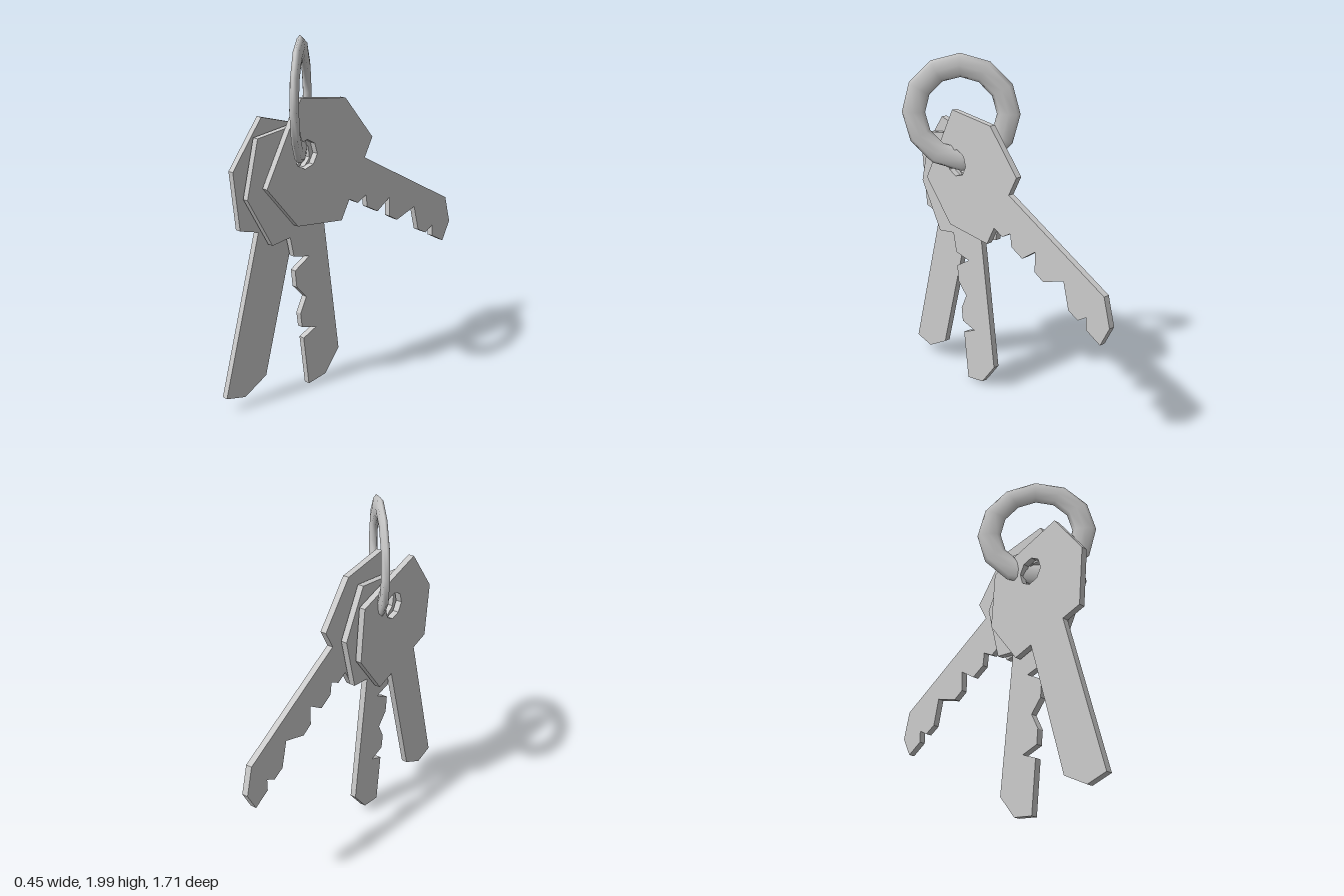
import * as THREE from 'three';

const material = new THREE.MeshStandardMaterial({ color: 0xcccccc });
const THICKNESS = 0.036;

// Key outline in its own frame: origin at the hole, +x along the blade.
const HEAD_START = [[0.43, -0.125], [0.43, -0.25], [0.128, -0.37], [-0.172, -0.253]];
const BLADE_END = [[1.235, 0.128], [1.352, 0.006], [1.354, -0.124]];

// Notches along the cutting edge, from tip to head
const CUT_A = [
  [1.239, -0.124], [1.206, -0.062], [1.17, -0.122], [1.092, -0.124], [0.983, -0.007], [0.875, -0.122],
  [0.799, -0.12], [0.744, -0.017], [0.687, -0.122], [0.591, -0.123], [0.546, -0.062], [0.506, -0.124],
];
const CUT_B = [
  [1.056, -0.12], [1.028, -0.021], [0.985, -0.121], [0.9, -0.12], [0.816, -0.064],
  [0.733, -0.123], [0.633, -0.12], [0.587, -0.009], [0.548, -0.115],
];

function makeKey(name, cuts, x, y, z, angle) {
  const mirroredHead = HEAD_START.map(([u, v]) => [u, -v]).reverse();
  const outline = [...HEAD_START, ...mirroredHead, ...BLADE_END, ...cuts];
  const shape = new THREE.Shape(outline.map(([u, v]) => new THREE.Vector2(u, v)));

  // Eight-sided ring hole
  const hole = [];
  for (let i = 0; i < 8; i++) {
    const a = ((i + 0.5) / 8) * Math.PI * 2;
    hole.push(new THREE.Vector2(0.08 * Math.cos(a), 0.08 * Math.sin(a)));
  }
  shape.holes.push(new THREE.Path(hole));

  const geometry = new THREE.ExtrudeGeometry(shape, { depth: THICKNESS, bevelEnabled: false });
  geometry.translate(0, 0, -THICKNESS / 2);
  geometry.rotateZ(angle);
  geometry.rotateY(Math.PI / 2); // lay the key in the side plane
  const key = new THREE.Mesh(geometry, material);
  key.name = name;
  key.position.set(x, y, z);
  return key;
}

export function createModel() {
  const group = new THREE.Group();
  group.name = 'keyRing';

  // Three keys fanned around the ring
  group.add(
    makeKey('leftKey', CUT_A, 0.02, 1.376, 0.34, Math.atan2(-0.478, 0.878)),
    makeKey('middleKey', CUT_B, -0.0215, 1.364, 0.358, Math.atan2(-0.99, 0.13)),
    makeKey('rightBlankKey', [], -0.0675, 1.363, 0.37, Math.atan2(-0.963, -0.27)),
  );

  // Flattened twelve-sided ring, turned diagonally
  const ringGeometry = new THREE.TorusGeometry(0.272, 0.067, 8, 12);
  ringGeometry.scale(1, 1, 0.36);
  ringGeometry.rotateY(-0.85);
  const ring = new THREE.Mesh(ringGeometry, material);
  ring.name = 'ring';
  ring.position.set(0, 1.661, 0.338);
  group.add(ring);

  return group;
}
